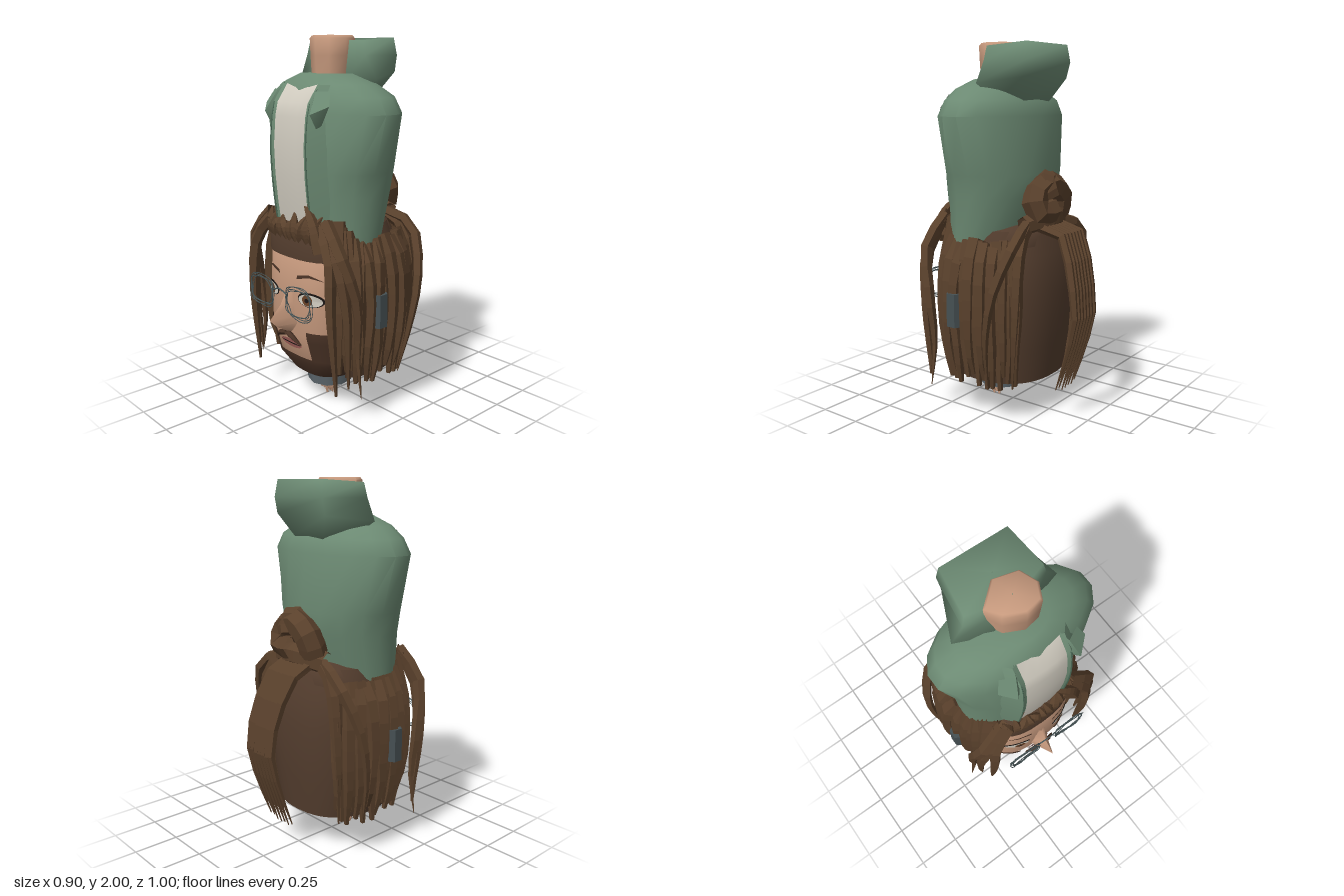
import * as THREE from 'three';
import { toCreasedNormals } from 'three/addons/utils/BufferGeometryUtils.js';

const mat = (color, flatShading = false) => new THREE.MeshStandardMaterial({ color, flatShading, side: THREE.DoubleSide });
const green = mat(0x6c8a73), greenFlat = mat(0x4c6a57, true), skin = mat(0xc6997d), skinFlat = mat(0xc6997d, true);
const hair = mat(0x523c2d), lock = mat(0x5a412c, true), beard = mat(0x4a3326), white = mat(0xd0cbbf);
const metal = mat(0x5d676d), clasp = mat(0x465053, true), wire = mat(0x4a585a), iris = mat(0x6b4327), lip = mat(0xa0605a), dark = mat(0x1c1614);

let seed = 7;
const rnd = () => (seed = (seed * 16807) % 2147483647) / 2147483647;
const V = p => new THREE.Vector3(...p);

// Surface through rows of points (rows run upwards, columns left to right)
function sheet(rows, crease = 0.9) {
  const n = rows[0].length, index = [];
  for (let r = 0; r < rows.length - 1; r++) for (let c = 0; c < n - 1; c++) {
    const a = r * n + c;
    index.push(a, a + 1, a + n + 1, a, a + n + 1, a + n);
  }
  const g = new THREE.BufferGeometry();
  g.setAttribute('position', new THREE.Float32BufferAttribute(rows.flat(2), 3));
  g.setIndex(index);
  return toCreasedNormals(g, crease);
}
// Rings are [y, half width, front z, back z]; e below 1 makes them boxier
function loft(rings, e = 1, a0 = 0, a1 = Math.PI * 2, n = 36) {
  const pw = v => Math.sign(v) * Math.abs(v) ** e;
  return sheet(rings.map(([y, rx, zf, zb]) => Array.from({ length: n + 1 }, (_, i) => {
    const a = a0 + (a1 - a0) * i / n;
    return [rx * pw(Math.sin(a)), y, (zf + zb) / 2 + (zf - zb) / 2 * pw(Math.cos(a))];
  })));
}
// Tapered lock following a few points
function strand(pts, r0, r1, sides = 5, seg = 9) {
  const curve = new THREE.CatmullRomCurve3(pts.map(V));
  const g = new THREE.TubeGeometry(curve, seg, r0, sides);
  const p = g.attributes.position, v = new THREE.Vector3();
  for (let i = 0; i < p.count; i++) {
    const t = Math.floor(i / (sides + 1)) / seg, c = curve.getPointAt(t);
    v.fromBufferAttribute(p, i).sub(c).multiplyScalar(1 + (r1 / r0 - 1) * t * t).add(c);
    p.setXYZ(i, v.x, v.y, v.z);
  }
  g.computeVertexNormals();
  return g;
}

const HEAD = [[0.19, 0.19, 0.26, -0.18], [0.28, 0.26, 0.32, -0.22], [0.45, 0.29, 0.365, -0.25],
  [0.7, 0.3, 0.37, -0.26], [0.9, 0.3, 0.355, -0.24], [1.04, 0.22, 0.26, -0.16]];
// Lay a flat shape onto the face
function onFace(g, lift) {
  const p = g.attributes.position;
  for (let i = 0; i < p.count; i++) {
    const y = p.getY(i);
    const k = Math.max(0, HEAD.findIndex((h, j) => j === HEAD.length - 2 || HEAD[j + 1][0] >= y));
    const t = THREE.MathUtils.clamp((y - HEAD[k][0]) / (HEAD[k + 1][0] - HEAD[k][0]), 0, 1);
    const [, rx, zf, zb] = HEAD[k].map((v, j) => v + (HEAD[k + 1][j] - v) * t);
    const x = THREE.MathUtils.clamp(p.getX(i), -rx * 0.995, rx * 0.995);
    const s = (Math.abs(x) / rx) ** (1 / 0.7);
    p.setXYZ(i, x, y, (zf + zb) / 2 + (zf - zb) / 2 * Math.sqrt(1 - s * s) ** 0.7 + lift);
  }
  g.computeVertexNormals();
  return g;
}
const patch = (x0, x1, y0, y1) => onFace(new THREE.PlaneGeometry(x1 - x0, y1 - y0, 14, 6).translate((x0 + x1) / 2, (y0 + y1) / 2, 0), 0.007);
const oval = (x, y, rx, ry, lift) => onFace(new THREE.CircleGeometry(1, 18).scale(rx, ry, 1).translate(x, y, 0), lift);
const flat = (pts, lift) => onFace(new THREE.ShapeGeometry(new THREE.Shape(pts.map(p => new THREE.Vector2(...p)))), lift);

export function createModel() {
  const model = new THREE.Group();
  const add = (name, g, m) => {
    const mesh = new THREE.Mesh(g, m);
    mesh.name = name;
    model.add(mesh);
    return mesh;
  };

  // Jacket body, neck and hood
  add('jacket', loft([[0.94, 0.01, 0.1, 0.08], [0.94, 0.34, 0.3, -0.12], [1.2, 0.355, 0.325, -0.2], [1.32, 0.375, 0.335, -0.215],
    [1.62, 0.455, 0.315, -0.185], [1.7, 0.405, 0.295, -0.165], [1.76, 0.31, 0.265, -0.1], [1.81, 0.16, 0.22, -0.04], [1.81, 0.01, 0.1, 0.08]],
    1, 0, Math.PI * 2, 18), green);
  add('neck', sheet([[1.76, 0.9], [1.9, 0.97], [1.985, 1], [2, 0.9], [2, 0.02]].map(([y, k]) =>
    [[0, 0.175], [0.09, 0.16], [0.13, 0.08], [0.095, -0.015], [-0.03, -0.05], [-0.14, 0.045], [-0.1, 0.125], [0, 0.175]]
      .map(([x, z]) => [x * k, y, 0.065 + (z - 0.065) * k])), 1.2), skin);
  const hoodTop = [[-0.22, 0.02], [-0.1, 0.05], [0.1, 0.05], [0.2, 0.02], [0.18, -0.215], [-0.18, -0.225]];
  const hoodMid = [[-0.3, 0.02], [-0.12, 0.1], [0.12, 0.07], [0.29, 0.02], [0.2, -0.205], [-0.19, -0.215]];
  const hoodRow = (o, y, s = 1, tilt = 0) => [...o, o[0]].map(([x, z], i) => [x * s, y + (i % 6 > 3 ? tilt : 0), -0.08 + (z + 0.08) * s]);
  add('hood', sheet([hoodRow(hoodMid, 1.62, 0.05), hoodRow(hoodMid, 1.7, 0.6), hoodRow(hoodMid, 1.785, 1, 0.03),
    hoodRow(hoodTop, 1.9, 1.08), hoodRow(hoodTop, 1.975, 1, 0.015), hoodRow(hoodTop, 1.97, 0.02)], 1.9), green);

  // Shirt panel with jacket edges and lapels
  const shirt = [[1.05, 0.33], [1.15, 0.345], [1.3, 0.36], [1.45, 0.365], [1.6, 0.352], [1.67, 0.335], [1.76, 0.27]];
  add('shirt', sheet(shirt.map(([y, z]) => [-0.12, -0.06, 0, 0.06, 0.12].map(x => [x, y - (y > 1.7 ? 0.02 * Math.cos(x * 13) : 0), z - x * x * 0.6]))), white);
  for (const s of [-1, 1]) {
    add('jacketEdge', sheet(shirt.map(([y, z]) => [[s * 0.12, y, z - 0.012], [s * 0.145, y, z - 0.003], [s * 0.22, y, z - 0.085]])), green);
    add('jacketSeam', strand(shirt.slice(0, 6).map(([y, z]) => [s * 0.142, y, z - 0.004]), 0.005, 0.003), greenFlat);
    add('lapel', sheet([
      [[s * 0.17, 1.55, 0.31], [s * 0.18, 1.55, 0.325], [s * 0.19, 1.56, 0.3]],
      [[s * 0.14, 1.65, 0.32], [s * 0.18, 1.62, 0.365], [s * 0.25, 1.66, 0.3]],
      [[s * 0.12, 1.77, 0.225], [s * 0.15, 1.73, 0.3], [s * 0.22, 1.73, 0.265]]], 0.9), green);
  }

  // Head, beard and features
  add('head', loft([[0.17, 0.01, 0.08, 0.06], ...HEAD], 0.7, 0, Math.PI * 2, 48), skin);
  add('chinBeard', loft([[0.188, 0.195, 0.267, -0.18], [0.28, 0.267, 0.328, -0.22], [0.31, 0.272, 0.335, -0.22]], 0.7, -1.7, 1.7, 30), beard);
  add('nose', sheet([
    [[-0.055, 0.48, 0.355], [0, 0.45, 0.37], [0.055, 0.48, 0.355]],
    [[-0.06, 0.515, 0.365], [0, 0.5, 0.455], [0.06, 0.515, 0.365]],
    [[-0.045, 0.55, 0.365], [0, 0.545, 0.5], [0.045, 0.55, 0.365]],
    [[-0.032, 0.63, 0.367], [0, 0.62, 0.425], [0.032, 0.63, 0.367]],
    [[-0.03, 0.72, 0.36], [0, 0.71, 0.378], [0.03, 0.72, 0.36]]], 1.5), skin);
  add('mouth', oval(0, 0.385, 0.085, 0.025, 0.012), lip);
  add('mouthLine', oval(0, 0.388, 0.08, 0.004, 0.016), dark);
  for (const s of [-1, 1]) {
    add('cheekBeard', s < 0 ? patch(-0.295, -0.13, 0.3, 0.48) : patch(0.13, 0.295, 0.3, 0.48), beard);
    add('moustache', strand([[s * 0.01, 0.45, 0.385], [s * 0.05, 0.44, 0.39], [s * 0.1, 0.4, 0.372]], 0.016, 0.004), beard);
    add('eyeOutline', oval(s * 0.155, 0.665, 0.076, 0.04, 0.006), dark);
    add('eyeWhite', oval(s * 0.155, 0.662, 0.068, 0.033, 0.009), white);
    add('iris', oval(s * 0.145, 0.663, 0.03, 0.03, 0.012), iris);
    add('pupil', oval(s * 0.145, 0.663, 0.012, 0.012, 0.015), dark);
    add('eyebrow', flat([[s * 0.07, 0.765], [s * 0.15, 0.785], [s * 0.23, 0.77], [s * 0.15, 0.8], [s * 0.075, 0.785]], 0.01), beard);
    // Spectacles of several loose wires
    for (let k = 0; k < 4; k++) {
      const rim = Array.from({ length: 10 }, (_, i) => {
        const a = i / 10 * Math.PI * 2, q = v => Math.sign(v) * Math.abs(v) ** 0.6;
        return V([s * 0.155 + q(Math.cos(a)) * (0.102 - k * 0.006 + rnd() * 0.008),
          0.665 + q(Math.sin(a)) * (0.079 - k * 0.007 + rnd() * 0.012), 0.425 + rnd() * 0.014]);
      });
      add('spectacleRim', new THREE.TubeGeometry(new THREE.CatmullRomCurve3(rim, true), 36, 0.0026, 4, true), wire);
    }
  }
  add('spectacleBridge', strand([[-0.055, 0.69, 0.43], [0, 0.71, 0.435], [0.055, 0.69, 0.43]], 0.004, 0.004), wire);

  // Hair shell, open at the face, and forehead band
  add('hairShell', loft([[0.21, 0.3, 0.3, -0.265], [0.4, 0.34, 0.32, -0.285], [0.7, 0.35, 0.33, -0.305],
    [0.9, 0.33, 0.33, -0.275], [1.03, 0.28, 0.31, -0.22]], 0.85, 0.95, Math.PI * 2 - 0.95), hair);
  add('hairBand', loft([[0.87, 0.31, 0.37, -0.24], [0.95, 0.31, 0.372, -0.25], [1.03, 0.27, 0.35, -0.22], [1.09, 0.1, 0.2, -0.1]], 0.75), hair);
  for (let i = 0; i < 13; i++) {
    const x = -0.24 + i * 0.04, z = 0.37 - x * x * 0.8, lean = 0.1 * (rnd() - 0.5);
    add('foreheadTuft', strand([[x - lean * 0.3, 0.97, z - 0.03], [x, 1.03, z - 0.01], [x + lean, 1.06 + rnd() * 0.06, z - 0.04]], 0.034, 0.004), lock);
  }
  add('forelock', strand([[0.23, 0.93, 0.35], [0.18, 1.07, 0.35], [0.07, 1.18, 0.32]], 0.04, 0.003), lock);

  // Hanging locks on both sides
  for (const s of [-1, 1]) {
    for (let i = 0; i < 18; i++) {
      const a = 0.78 + i * 0.092, out = (i % 2) * 0.06 + rnd() * 0.04, sway = 0.08 * (rnd() - 0.5);
      const at = (k, y, da = 0) => [s * 0.355 * k * Math.sin(a + da) ** 0.85, y,
        0.02 + 0.3 * k * Math.sign(Math.cos(a + da)) * Math.abs(Math.cos(a + da)) ** 0.85];
      const top = 0.95 + rnd() * 0.04 + Math.max(0, 4 - i) * 0.025;
      add('sideLock', strand([at(0.9, top, -sway), at(0.99 + out, 0.86), at(1.05 + out, 0.62, sway), at(1.02 + out, 0.4), at(1, 0.19 + rnd() * 0.1, sway)],
        0.036 + rnd() * 0.01, 0.014, 5, 7), lock);
    }
    add('looseFrontLock', strand([[s * 0.22, 1.08, 0.3], [s * 0.36, 0.92, 0.32], [s * 0.41, 0.68, 0.26], [s * 0.395, 0.4, 0.24], [s * 0.425, 0.17, 0.24]], 0.036, 0.002), lock);
    add('middleFrontLock', strand([[s * 0.22, 1.06, 0.3], [s * 0.34, 0.9, 0.33], [s * 0.385, 0.65, 0.31], [s * 0.37, 0.22, 0.28]], 0.036, 0.006), lock);
    add('innerFrontLock', strand([[s * 0.2, 1.05, 0.32], [s * 0.3, 0.92, 0.35], [s * 0.325, 0.65, 0.365], [s * 0.33, 0.18, 0.33]], 0.036, 0.008), lock);
    add('looseBackLock', strand([[s * 0.16, 1.06, -0.2], [s * 0.31, 1.0, -0.24], [s * 0.42, 0.75, -0.18], [s * 0.42, 0.5, -0.13], [s * 0.36, 0.2, -0.1]], 0.032, 0.003), lock);
    add('innerBackLock', strand([[s * 0.14, 1.06, -0.2], [s * 0.25, 0.98, -0.23], [s * 0.31, 0.6, -0.24], [s * 0.28, 0.2, -0.2]], 0.036, 0.005), lock);
    const band = add('lockClasp', new THREE.CylinderGeometry(0.052, 0.052, 0.18, 6), clasp);
    band.position.set(s * 0.388, 0.615, 0.09);
  }

  // Knot and tail at the back
  add('knotLoop', strand([[-0.1, 1.1, -0.21], [-0.09, 1.2, -0.24], [0.01, 1.265, -0.24], [0.12, 1.21, -0.23], [0.12, 1.13, -0.25], [0.01, 1.13, -0.26]], 0.074, 0.066, 6, 10), lock);
  add('knotTop', strand([[-0.05, 1.18, -0.19], [0, 1.275, -0.22], [0.06, 1.275, -0.25], [0.04, 1.2, -0.27]], 0.066, 0.055, 6, 6), lock);
  add('knotBase', strand([[-0.16, 1.06, -0.18], [0, 1.09, -0.24], [0.18, 1.06, -0.2]], 0.064, 0.05, 6), lock);
  for (let i = 0; i < 7; i++) {
    const x = -0.09 + i * 0.031;
    add('tailLock', strand([[x, 1.05, -0.23], [x - 0.025, 1.01, -0.36], [x + 0.015, 0.8, -0.445], [x + 0.025, 0.6, -0.48],
      [x + 0.02, 0.4, -0.435], [x + 0.01, 0.15 + rnd() * 0.03, -0.36]], 0.027, 0.003, 5, 7), lock);
  }

  // Lower collar and fingertips
  const collar = add('lowerCollar', new THREE.CylinderGeometry(0.14, 0.125, 0.13, 9), metal);
  collar.position.set(0, 0.16, 0.08);
  for (let i = 0; i < 5; i++) {
    const x = -0.05 + i * 0.025;
    add('finger', strand([[x, 0.13, 0.1], [x, 0.07, 0.11], [x * 0.9, i === 2 ? 0.003 : 0.025, 0.1]], 0.014, 0.006), skinFlat);
  }
  return model;
}
